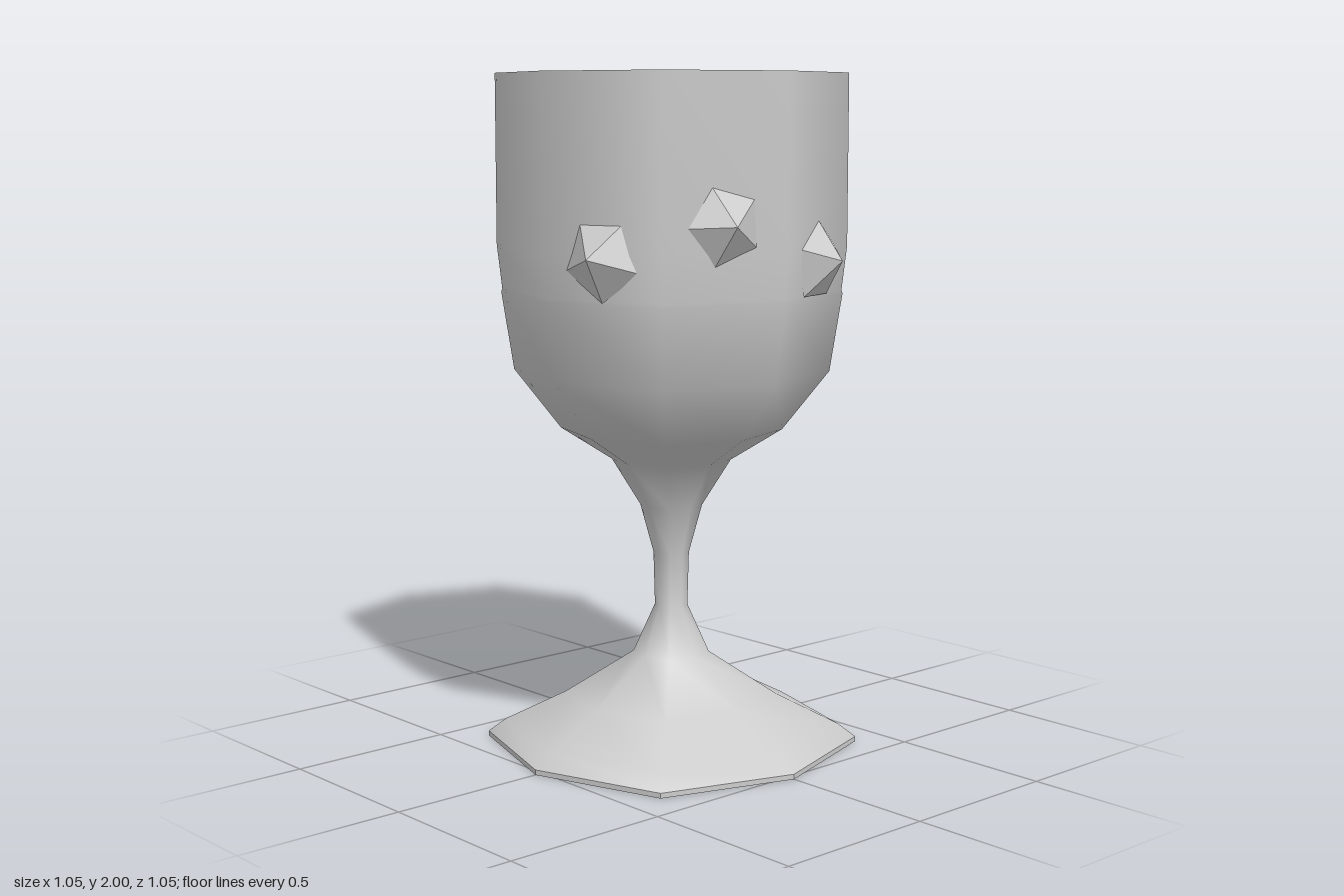
import * as THREE from 'three';

const SIDES = 8;
const DIAGONAL = 1.063; // diagonal corners stand a little further out

// Eight-sided revolved surface from [radius, y] points
function octagonal(name, profile, material) {
  const geo = new THREE.LatheGeometry(profile.map(([r, y]) => new THREE.Vector2(r, y)), SIDES);
  const pos = geo.attributes.position;
  for (let i = 0; i < pos.count; i++) {
    const column = Math.floor(i / profile.length);
    if (column % 2) pos.setXYZ(i, pos.getX(i) * DIAGONAL, pos.getY(i), pos.getZ(i) * DIAGONAL);
  }
  const mesh = new THREE.Mesh(geo, material);
  mesh.name = name;
  return mesh;
}

export function createModel() {
  const model = new THREE.Group();
  model.name = 'goblet';
  const smooth = new THREE.MeshStandardMaterial({ color: 0xcccccc });
  const faceted = new THREE.MeshStandardMaterial({ color: 0xcccccc, flatShading: true });

  // Outer skin: foot, stem and bowl
  model.add(octagonal('outerWall', [
    [0.525, 0.015], [0.475, 0.055], [0.3, 0.145], [0.107, 0.275], [0.046, 0.42],
    [0.05, 0.58], [0.087, 0.725], [0.167, 0.862], [0.31, 0.955], [0.44, 1.13],
    [0.474, 1.36], [0.471, 1.37], [0.485, 1.5], [0.485, 2],
  ], smooth));

  // Inner skin runs from the rim through the open stem to the hollow foot
  model.add(octagonal('innerWall', [
    [0.47, 2], [0.47, 1.5], [0.459, 1.365], [0.426, 1.135], [0.302, 0.967],
    [0.16, 0.876], [0.077, 0.73], [0.044, 0.58], [0.041, 0.42], [0.098, 0.267],
    [0.295, 0.131], [0.47, 0.041], [0.515, 0],
  ], smooth));

  // Sharp edges closing the two skins
  model.add(octagonal('rim', [[0.485, 2], [0.47, 2]], smooth));
  model.add(octagonal('footEdge', [[0.515, 0], [0.525, 0], [0.525, 0.015]], faceted));

  // Five-sided studs: [face index counted from +z towards +x, height, roll in degrees]
  const studs = [
    [0, 1.49, 180], [1, 1.58, 165], [2, 1.47, 0],
    [4, 1.53, 90], [5, 1.6, 20], [6, 1.53, 170],
  ];
  const corner = (i) => {
    const a = (i * Math.PI * 2) / SIDES;
    const r = 0.485 * (i % 2 ? DIAGONAL : 1);
    return new THREE.Vector3(Math.sin(a) * r, 0, Math.cos(a) * r);
  };
  const height = 0.085, sink = 0.009;
  // Cone axis turned to +z with one corner pointing up
  const studGeo = new THREE.ConeGeometry(0.125, height, 5, 1, true);
  studGeo.translate(0, height / 2 - sink, 0).rotateY(Math.PI).rotateX(Math.PI / 2);
  for (const [face, y, roll] of studs) {
    const a = corner(face), b = corner(face + 1);
    const normal = new THREE.Vector3(a.z - b.z, 0, b.x - a.x);
    const stud = new THREE.Mesh(studGeo, faceted);
    stud.name = 'stud' + face;
    stud.position.copy(a).add(b).multiplyScalar(0.5).setY(y);
    stud.rotation.set(0, Math.atan2(normal.x, normal.z), THREE.MathUtils.degToRad(roll));
    model.add(stud);
  }
  return model;
}
